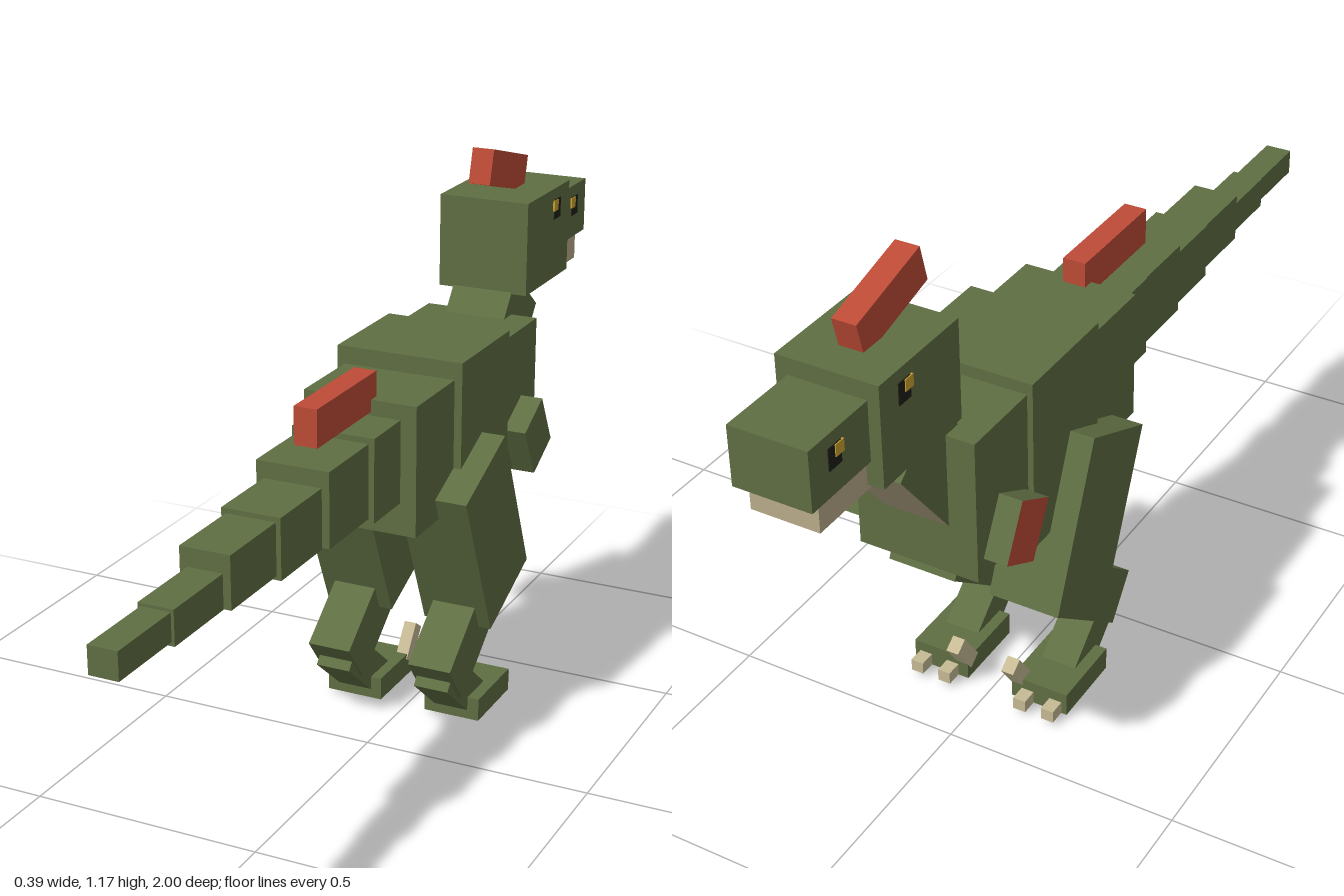
import * as THREE from 'three';

const paint = (name, color) => {
  const m = new THREE.MeshStandardMaterial({ color });
  m.name = name;
  return m;
};

export function createModel() {
  const model = new THREE.Group();
  model.name = 'blockyDinosaur';
  const green = paint('hide green', 0x5f6e42);
  const tan = paint('belly tan', 0xbaac8b);
  const bone = paint('claw bone', 0xc6ba94);
  const red = paint('crest red', 0xbd4b36);
  const black = paint('eye black', 0x1c1c18);
  const yellow = paint('eye yellow', 0xc9a030);

  // Box from size and centre, tilted about x (degrees)
  const box = (name, material, [w, h, d], [x, y, z], tilt = 0) => {
    const mesh = new THREE.Mesh(new THREE.BoxGeometry(w, h, d), material);
    mesh.name = name;
    mesh.position.set(x, y, z);
    mesh.rotation.x = THREE.MathUtils.degToRad(tilt);
    model.add(mesh);
    return mesh;
  };
  // Centred box from its half width, y range and z range
  const block = (name, material, hw, y0, y1, z0, z1) =>
    box(name, material, [2 * hw, y1 - y0, z1 - z0], [0, (y0 + y1) / 2, (z0 + z1) / 2]);
  // Green on every face except the given one
  const skin = (face, other) => Array.from({ length: 6 }, (_, i) => (i === face ? other : green));
  const bellied = skin(3, tan);

  // Trunk
  block('chest', bellied, 0.13, 0.495, 0.803, -0.585, -0.4);
  block('belly', bellied, 0.142, 0.455, 0.828, -0.4, -0.15);
  block('hips', bellied, 0.125, 0.51, 0.79, -0.15, 0.035);

  // Tail, from root to tip: half width, y range, z range
  [
    [0.09, 0.58, 0.757, 0.035, 0.155],
    [0.078, 0.588, 0.745, 0.155, 0.325],
    [0.062, 0.585, 0.71, 0.325, 0.49],
    [0.052, 0.593, 0.7, 0.49, 0.66],
    [0.036, 0.592, 0.662, 0.66, 0.83],
    [0.03, 0.6, 0.656, 0.83, 1.0],
  ].forEach((s, i) => block('tailSegment' + (i + 1), bellied, ...s));

  // Neck and head
  box('neck', skin(5, tan), [0.14, 0.31, 0.157], [0, 0.717, -0.575], -38.3);
  block('head', bellied, 0.104, 0.85, 1.057, -0.83, -0.583);
  block('snout', bellied, 0.08, 0.9, 1.022, -1.0, -0.83);
  block('jaw', tan, 0.07, 0.838, 0.9, -0.97, -0.66);

  // Crests
  box('headCrest', red, [0.05, 0.078, 0.205], [0, 1.107, -0.663], -15);
  block('backCrest', red, 0.025, 0.765, 0.844, 0.01, 0.27);

  for (const s of [-1, 1]) {
    const side = s > 0 ? 'left' : 'right';

    // Eyes and nostrils
    for (const [part, x, y, z] of [['Eye', 0.104, 1.012, -0.757], ['Nostril', 0.08, 0.977, -0.93]]) {
      box(side + part, black, [0.004, 0.044, 0.036], [s * x, y - 0.003, z]);
      box(side + part + 'Glint', yellow, [0.004, 0.024, 0.024], [s * (x + 0.002), y + 0.006, z + 0.012]);
    }

    // Arm, with one red outer face on the -x side
    box(side + 'Arm', s < 0 ? skin(1, red) : green, [0.07, 0.126, 0.108], [s * 0.145, 0.567, -0.487], 28);

    // Leg
    box(side + 'Thigh', green, [0.155, 0.366, 0.218], [s * 0.117, 0.433, -0.231], 23.2);
    box(side + 'Shin', green, [0.097, 0.29, 0.115], [s * 0.118, 0.22, -0.203], -52.5);
    box(side + 'Ankle', green, [0.078, 0.19, 0.08], [s * 0.116, 0.092, -0.166], 50);
    box(side + 'Foot', green, [0.128, 0.051, 0.169], [s * 0.117, 0.036, -0.261]);

    // Claws
    for (const x of [0.09, 0.155])
      box(side + 'ToeClaw', bone, [0.028, 0.027, 0.055], [s * x, 0.025, -0.353]);
    box(side + 'RaisedClaw', bone, [0.028, 0.085, 0.034], [s * 0.065, 0.077, -0.346], -35);
  }
  return model;
}
